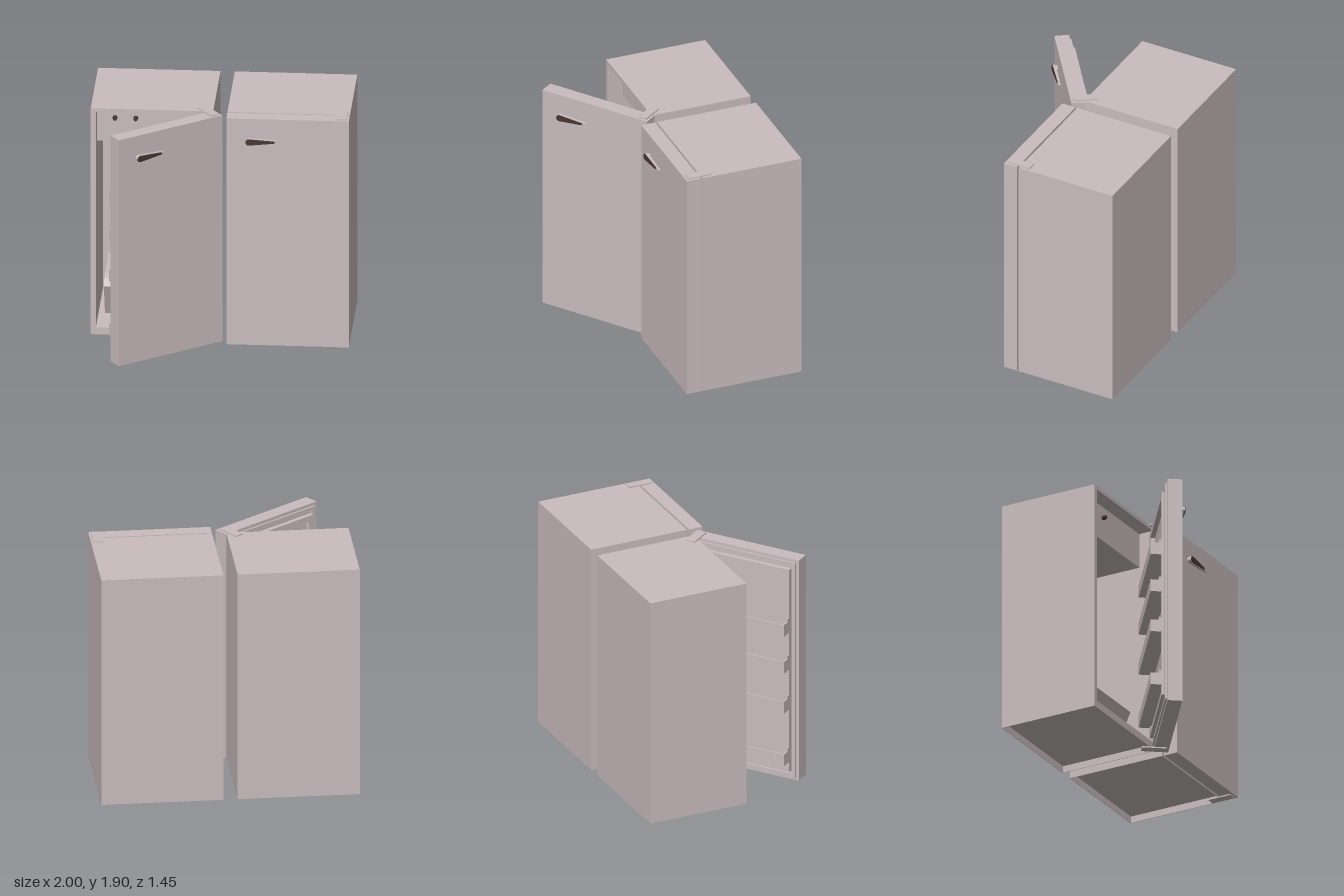
import * as THREE from 'three';

const paint = new THREE.MeshStandardMaterial({ color: 0xc9bcbe });
paint.name = 'warm grey enamel';
const dark = new THREE.MeshStandardMaterial({ color: 0x4a3636 });
dark.name = 'dark brown plastic';

const W = 0.945, Y0 = 0.01, Y1 = 1.89;

// Box given by its min and max corners
function box(parent, name, x0, x1, y0, y1, z0, z1, mat = paint) {
  const m = new THREE.Mesh(new THREE.BoxGeometry(x1 - x0, y1 - y0, z1 - z0), mat);
  m.position.set((x0 + x1) / 2, (y0 + y1) / 2, (z0 + z1) / 2);
  m.name = name;
  parent.add(m);
  return m;
}

// Rectangular ring of constant border, lying in the xy plane
function frame(parent, name, x0, x1, y0, y1, border, z0, z1) {
  const s = new THREE.Shape([[x0, y0], [x1, y0], [x1, y1], [x0, y1]].map(p => new THREE.Vector2(...p)));
  const b = border;
  s.holes.push(new THREE.Path([[x0 + b, y0 + b], [x0 + b, y1 - b], [x1 - b, y1 - b], [x1 - b, y0 + b]]
    .map(p => new THREE.Vector2(...p))));
  const m = new THREE.Mesh(new THREE.ExtrudeGeometry(s, { depth: z1 - z0, bevelEnabled: false }), paint);
  m.position.z = z0;
  m.name = name;
  parent.add(m);
}

function knob(parent, x, y, z, r) {
  const g = new THREE.CylinderGeometry(r * 0.8, r, 0.03, 8);
  g.rotateX(Math.PI / 2);
  const m = new THREE.Mesh(g, dark);
  m.position.set(x, y, z);
  m.name = 'knob';
  parent.add(m);
}

// Cabinet: local x runs from -W to 0
function makeCabinet() {
  const g = new THREE.Group();
  g.name = 'cabinet';
  const zb = -0.73, zf = 0.09, t = 0.04, fy = 0.065, s = 0.004;
  box(g, 'rightWall', -W, -W + t, fy, Y1, zb, zf);
  box(g, 'leftWall', -t, 0, fy, Y1, zb, zf);
  box(g, 'roof', -W + t, -t, Y1 - 0.03, Y1, zb, zf);
  box(g, 'backWall', -W + t, -t, fy, Y1 - 0.03, zb, zb + t);
  box(g, 'floor', -W + t, -t, fy, fy + 0.004, zb + t, zf);
  // thin skirt around the hollow underside
  box(g, 'skirtRight', -W, -W + s, Y0, fy, zb, zf);
  box(g, 'skirtLeft', -s, 0, Y0, fy, zb, zf);
  box(g, 'skirtBack', -W + s, -s, Y0, fy, zb, zb + s);
  box(g, 'skirtFront', -W + s, -s, Y0, fy, zf - s, zf);
  // ice compartment with its controls
  box(g, 'iceCompartment', -W + t, -t, 1.575, Y1 - 0.03, zb + t, -0.03);
  for (const x of [-0.765, -0.605]) knob(g, x, 1.77, -0.015, 0.02);
  knob(g, -W + 0.055, 1.847, -0.015, 0.014);
  // crisper drawer with a sloping front
  const profile = [[-0.62, 0.07], [-0.2, 0.07], [-0.08, 0.34], [-0.13, 0.385], [-0.2, 0.4], [-0.62, 0.4]];
  const geo = new THREE.ExtrudeGeometry(new THREE.Shape(profile.map(p => new THREE.Vector2(...p))),
    { depth: W - 0.18, bevelEnabled: false });
  geo.rotateY(-Math.PI / 2);
  const drawer = new THREE.Mesh(geo, paint);
  drawer.position.x = -0.09;
  drawer.name = 'crisperDrawer';
  g.add(drawer);
  return g;
}

// Tapered teardrop outline, round at both ends
function teardrop(len, r0, r1) {
  const s = new THREE.Shape();
  s.absarc(0, 0, r0, Math.PI / 2, Math.PI * 1.5, false);
  s.absarc(len, 0, r1, -Math.PI / 2, Math.PI / 2, false);
  return s;
}

function makeHandle() {
  const g = new THREE.Group();
  g.name = 'handle';
  const post = new THREE.Mesh(new THREE.CylinderGeometry(0.022, 0.022, 0.014, 10).rotateX(Math.PI / 2), paint);
  post.position.z = 0.007;
  post.name = 'handlePost';
  // grip is thinner toward the tip
  const gripGeo = new THREE.ExtrudeGeometry(teardrop(0.23, 0.026, 0.012),
    { depth: 0.026, bevelEnabled: false, curveSegments: 6 });
  const capGeo = new THREE.ExtrudeGeometry(teardrop(0.19, 0.025, 0.009),
    { depth: 0.006, bevelEnabled: false, curveSegments: 6 });
  const taper = (geo, base) => {
    const p = geo.attributes.position;
    for (let i = 0; i < p.count; i++) {
      const k = 1 - 0.45 * (p.getX(i) + 0.026) / 0.27;
      p.setZ(i, 0.011 + (p.getZ(i) + base) * k);
    }
    geo.computeVertexNormals();
    return geo;
  };
  const grip = new THREE.Mesh(taper(gripGeo, 0), paint);
  grip.name = 'handleGrip';
  const cap = new THREE.Mesh(taper(capGeo, 0.026), dark);
  cap.name = 'handleInlay';
  g.add(post, grip, cap);
  g.position.set(-0.77, 1.71, 0);
  return g;
}

// Door: origin on its outer hinge corner, inside toward -z
function makeDoor() {
  const g = new THREE.Group();
  g.name = 'door';
  box(g, 'doorPanel', -W, 0, Y0, Y1, -0.115, 0);
  frame(g, 'doorSeal', -0.92, -0.02, 0.035, 1.865, 0.03, -0.13, -0.115);
  frame(g, 'doorLinerRim', -0.88, -0.08, 0.085, 1.81, 0.045, -0.152, -0.115);
  // open-topped door bins
  for (const y of [0.17, 0.62, 0.96, 1.275]) {
    const bin = new THREE.Group();
    bin.name = 'doorBin';
    const x0 = -0.88, x1 = -0.08, h = y + 0.1, zi = -0.238, zo = -0.115;
    box(bin, 'binBase', x0, x1, y, y + 0.01, zi, zo);
    box(bin, 'binFront', x0, x1, y + 0.01, h, zi, zi + 0.012);
    for (const x of [x0, x1 - 0.015]) {
      box(bin, 'binEnd', x, x + 0.015, y + 0.01, h, zi + 0.012, zo);
      box(bin, 'binLug', x, x + 0.015, h, h + 0.025, zo - 0.06, zo);
    }
    g.add(bin);
  }
  // hinge plates above and below
  box(g, 'topHinge', -0.09, -0.02, Y1, Y1 + 0.01, -0.213, -0.02);
  box(g, 'bottomHinge', -0.09, -0.02, 0, Y0, -0.213, -0.02);
  g.add(makeHandle());
  return g;
}

export function createModel() {
  const root = new THREE.Group();
  root.name = 'refrigerators';

  const closed = new THREE.Group();
  closed.name = 'closedRefrigerator';
  const shutDoor = makeDoor();
  shutDoor.position.z = 0.22;
  closed.add(makeCabinet(), shutDoor);
  closed.position.x = 1;

  const open = new THREE.Group();
  open.name = 'openRefrigerator';
  const openDoor = makeDoor();
  openDoor.position.set(0.075, 0, 0.16);
  openDoor.rotation.y = 0.635;
  open.add(makeCabinet(), openDoor);
  open.position.x = -0.055;

  root.add(closed, open);
  return root;
}
